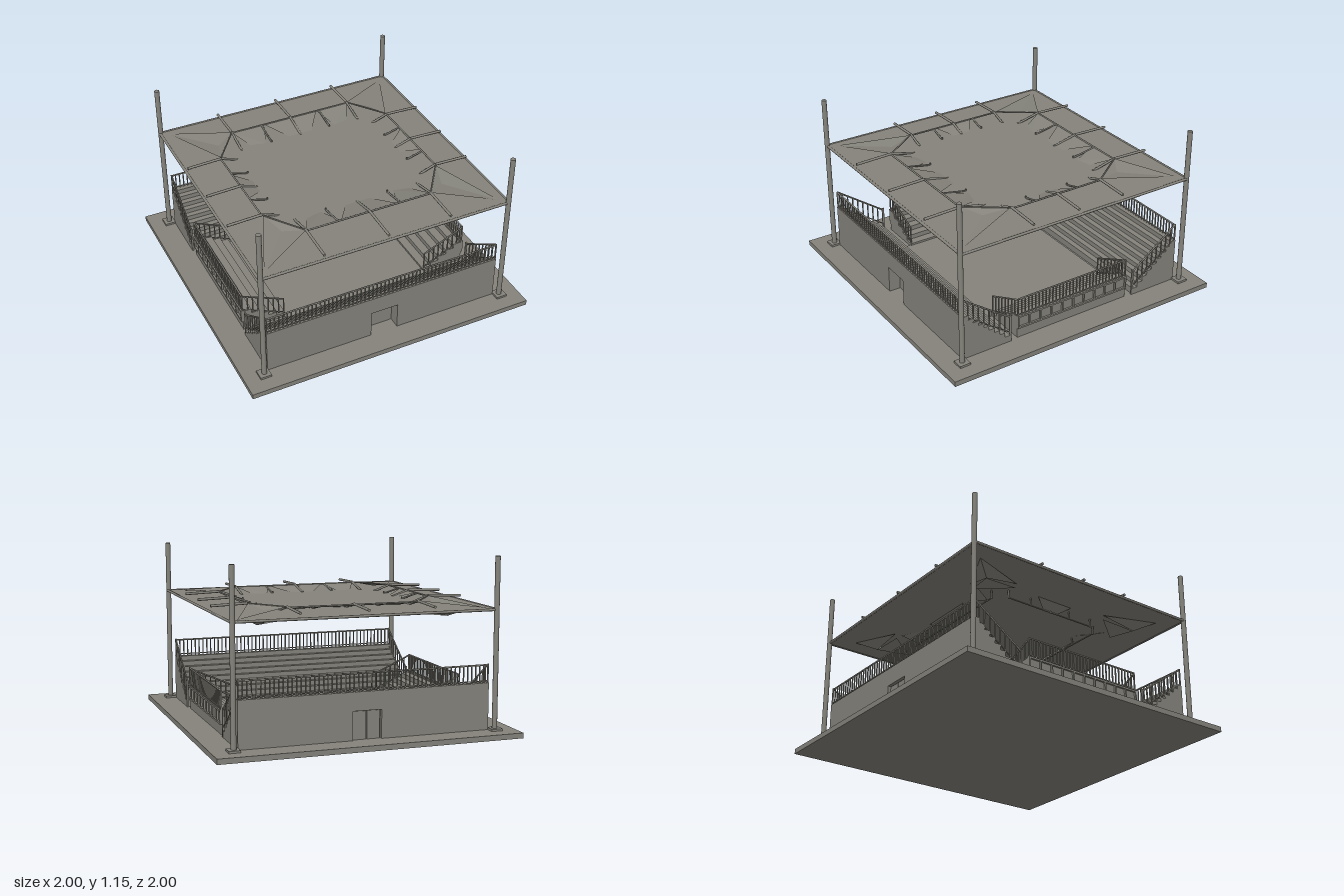
import * as THREE from 'three';

const concrete = new THREE.MeshStandardMaterial({ color: 0x85837b });
concrete.name = 'warm grey';
const fabric = new THREE.MeshStandardMaterial({ color: 0x85837b, side: THREE.DoubleSide, flatShading: true });
fabric.name = 'warm grey fabric';

const V = (x, y, z) => new THREE.Vector3(x, y, z);

function add(parent, name, geometry, material = concrete) {
  const mesh = new THREE.Mesh(geometry, material);
  mesh.name = name;
  parent.add(mesh);
  return mesh;
}

function box(parent, name, w, h, d, x, y, z) {
  return add(parent, name, new THREE.BoxGeometry(w, h, d).translate(x, y, z));
}

// Round bar between two points
function pipe(parent, name, a, b, r = 0.007, sides = 8) {
  const dir = b.clone().sub(a);
  const mesh = add(parent, name, new THREE.CylinderGeometry(r, r, dir.length(), sides));
  mesh.position.copy(a).add(b).multiplyScalar(0.5);
  mesh.quaternion.setFromUnitVectors(V(0, 1, 0), dir.normalize());
  return mesh;
}

// Fabric panel: polygon fanned from its first corner
function panel(parent, name, pts) {
  const pos = [];
  for (let i = 1; i < pts.length - 1; i++) {
    for (const p of [pts[0], pts[i], pts[i + 1]]) pos.push(p.x, p.y, p.z);
  }
  const g = new THREE.BufferGeometry();
  g.setAttribute('position', new THREE.Float32BufferAttribute(pos, 3));
  g.computeVertexNormals();
  add(parent, name, g, fabric);
}

// Solid with a (z, y) profile running from x0 to x1
function prism(parent, name, profile, x0, x1) {
  const shape = new THREE.Shape(profile.map(([u, y]) => new THREE.Vector2(u, y)));
  const g = new THREE.ExtrudeGeometry(shape, { depth: x1 - x0, bevelEnabled: false });
  add(parent, name, g.rotateY(-Math.PI / 2).translate(x1, 0, 0));
}

// Stepped top edge from the inner low point to the outer high point
function steps(zIn, yIn, zOut, yOut, n) {
  const pts = [];
  const dz = (zOut - zIn) / n, dy = (yOut - yIn) / (n - 1);
  for (let i = 0; i < n; i++) {
    pts.push([zIn + i * dz, yIn + i * dy], [zIn + (i + 1) * dz, yIn + i * dy]);
  }
  return pts;
}

// Railing with two bars and upright balusters between two base points
function railing(parent, a, b, height, count) {
  const g = new THREE.Group();
  g.name = 'railing';
  parent.add(g);
  const up = (p, h) => p.clone().add(V(0, h, 0));
  pipe(g, 'handrail', up(a, height), up(b, height), 0.006, 6);
  pipe(g, 'lowerRail', up(a, 0.012), up(b, 0.012), 0.004, 6);
  for (let i = 0; i <= count; i++) {
    const p = a.clone().lerp(b, i / count);
    box(g, 'baluster', 0.007, height, 0.007, p.x, p.y + height / 2, p.z);
  }
}

// Tall end stand with a central doorway, facing outward along +z
function endStand(parent, doorDepth, doubleDoor) {
  const tiers = steps(0.49, 0.08, 0.84, 0.34, 9);
  const full = [[0.84, 0.03], [0.49, 0.03], ...tiers];
  const back = 0.84 - doorDepth;
  const notched = [[back, 0.03], [0.49, 0.03], ...tiers, [0.84, 0.22], [back, 0.22]];
  prism(parent, 'standLeft', full, 0.095, 0.83);
  prism(parent, 'standRight', full, -0.83, -0.095);
  prism(parent, 'standOverDoor', notched, -0.095, 0.095);
  if (doubleDoor) {
    for (const s of [-1, 1]) box(parent, 'doorLeaf', 0.085, 0.18, 0.008, s * 0.046, 0.125, back + 0.004);
  }
  railing(parent, V(-0.825, 0.34, 0.832), V(0.825, 0.34, 0.832), 0.115, 58);
  for (const s of [-1, 1]) {
    railing(parent, V(s * 0.825, 0.335, 0.835), V(s * 0.825, 0.09, 0.49), 0.125, 9);
    box(parent, 'railEndPost', 0.012, 0.19, 0.012, s * 0.825, 0.13, 0.485);
  }
}

// Low side stand with ribbed outer wall
function sideStand(parent) {
  const tiers = steps(0.52, 0.06, 0.82, 0.19, 5);
  prism(parent, 'sideStand', [[0.82, 0.03], [0.52, 0.03], ...tiers], -0.43, 0.43);
  box(parent, 'wallLedge', 0.86, 0.012, 0.02, 0, 0.11, 0.823);
  box(parent, 'wallCap', 0.86, 0.012, 0.02, 0, 0.192, 0.823);
  for (let i = 0; i <= 10; i++) {
    box(parent, 'wallRib', 0.01, 0.08, 0.02, -0.425 + i * 0.085, 0.15, 0.823);
  }
  railing(parent, V(-0.425, 0.195, 0.822), V(0.425, 0.195, 0.822), 0.125, 32);
  for (const s of [-1, 1]) railing(parent, V(s * 0.425, 0.19, 0.82), V(s * 0.425, 0.06, 0.53), 0.125, 8);
}

// Roof struts and folded fabric along one side
function roofEdge(parent, long) {
  const half = long ? 0.44 : 0.34;
  const zo = long ? 0.6 : 0.625;
  const zi = long ? 0.425 : 0.51;
  pipe(parent, 'ringPipe', V(-half, 0.848, zo), V(half, 0.848, zo), 0.006);
  pipe(parent, 'lowerRingPipe', V(-half, 0.755, zi), V(half, 0.755, zi), 0.005);
  for (const x of [-half, 0, half]) {
    pipe(parent, 'strut', V(x, 0.845, 0.86), V(x, 0.853, zo), 0.009);
    pipe(parent, 'strutTip', V(x, 0.853, zo), V(x, 0.812, zi), 0.008);
    pipe(parent, 'hanger', V(x, 0.82, zi), V(x, 0.75, zi), 0.006);
  }
  const mid = long ? 0.22 : 0.16;
  for (const s of [-1, 1]) {
    pipe(parent, 'shortStrut', V(s * mid, 0.848, zo), V(s * mid, 0.815, zi), 0.006);
    pipe(parent, 'shortHanger', V(s * mid, 0.83, zi), V(s * mid, 0.755, zi), 0.005);
    if (long) {
      panel(parent, 'sideFold', [V(s * 0.44, 0.85, zo), V(s * 0.36, 0.812, zi + 0.01),
        V(s * 0.26, 0.815, zi), V(s * 0.2, 0.848, zo)]);
      panel(parent, 'hangingFold', [V(s * 0.44, 0.8, zi + 0.12), V(s * 0.4, 0.757, zi), V(s * 0.26, 0.81, zi)]);
    }
  }
  const w = long ? 0.2 : 0.14, t = long ? 0.08 : 0.06;
  panel(parent, 'middleFold', [V(-w, 0.848, zo), V(w, 0.848, zo), V(t, 0.814, zi), V(-t, 0.814, zi)]);
  panel(parent, 'middleHangingFold', [V(-w, 0.81, zi + 0.05), V(w, 0.81, zi + 0.05), V(t, 0.758, zi), V(-t, 0.758, zi)]);
}

export function createModel() {
  const model = new THREE.Group();
  model.name = 'coveredArena';
  const group = (name, angle = 0, parent = model) => {
    const g = new THREE.Group();
    g.name = name;
    g.rotation.y = angle;
    parent.add(g);
    return g;
  };

  // Ground slab and pitch
  box(model, 'groundSlab', 2, 0.035, 2, 0, 0.0175, 0);
  box(model, 'pitch', 1.06, 0.012, 0.94, 0, 0.04, 0);

  // Stands
  endStand(group('frontStand'), 0.08, false);
  endStand(group('backStand', Math.PI), 0.025, true);
  sideStand(group('leftStand', Math.PI / 2));
  sideStand(group('rightStand', -Math.PI / 2));

  // Corner masts on plates
  for (const sx of [-1, 1]) {
    for (const sz of [-1, 1]) {
      box(model, 'mastPlate', 0.075, 0.014, 0.075, sx * 0.865, 0.042, sz * 0.865);
      add(model, 'mast', new THREE.CylinderGeometry(0.017, 0.017, 1.117, 16)
        .translate(sx * 0.863, 0.5935, sz * 0.865));
    }
  }

  // Roof sheet with edge pipes
  const roof = group('roof');
  box(roof, 'roofSheet', 1.74, 0.008, 1.73, 0, 0.812, 0);
  for (const s of [-1, 1]) {
    pipe(roof, 'edgePipe', V(-0.87, 0.812, s * 0.865), V(0.87, 0.812, s * 0.865), 0.009);
    pipe(roof, 'edgePipe', V(s * 0.87, 0.812, -0.865), V(s * 0.87, 0.812, 0.865), 0.009);
  }
  for (let i = 0; i < 4; i++) roofEdge(group('roofEdge', i * Math.PI / 2, roof), i % 2 === 0);

  // Corner fabric fans above the sheet and their hanging folds below
  for (const sx of [-1, 1]) {
    for (const sz of [-1, 1]) {
      const p = (x, y, z) => V(sx * x, y, sz * z);
      const tip = p(0.82, 0.818, 0.82), a = p(0.44, 0.853, 0.6), b = p(0.62, 0.853, 0.35);
      const c = p(0.57, 0.83, 0.52), low = p(0.64, 0.75, 0.61);
      panel(roof, 'cornerFan', [tip, a, c]);
      panel(roof, 'cornerFan', [tip, c, b]);
      panel(roof, 'cornerFan', [a, b, c]);
      panel(roof, 'cornerHangingFold', [low, p(0.74, 0.806, 0.73), p(0.44, 0.8, 0.59)]);
      panel(roof, 'cornerHangingFold', [low, p(0.74, 0.806, 0.73), p(0.62, 0.8, 0.36)]);
      panel(roof, 'cornerHangingFold', [low, p(0.44, 0.77, 0.58), p(0.62, 0.77, 0.36)]);
      pipe(roof, 'cornerPipe', a, b, 0.005);
    }
  }
  return model;
}
